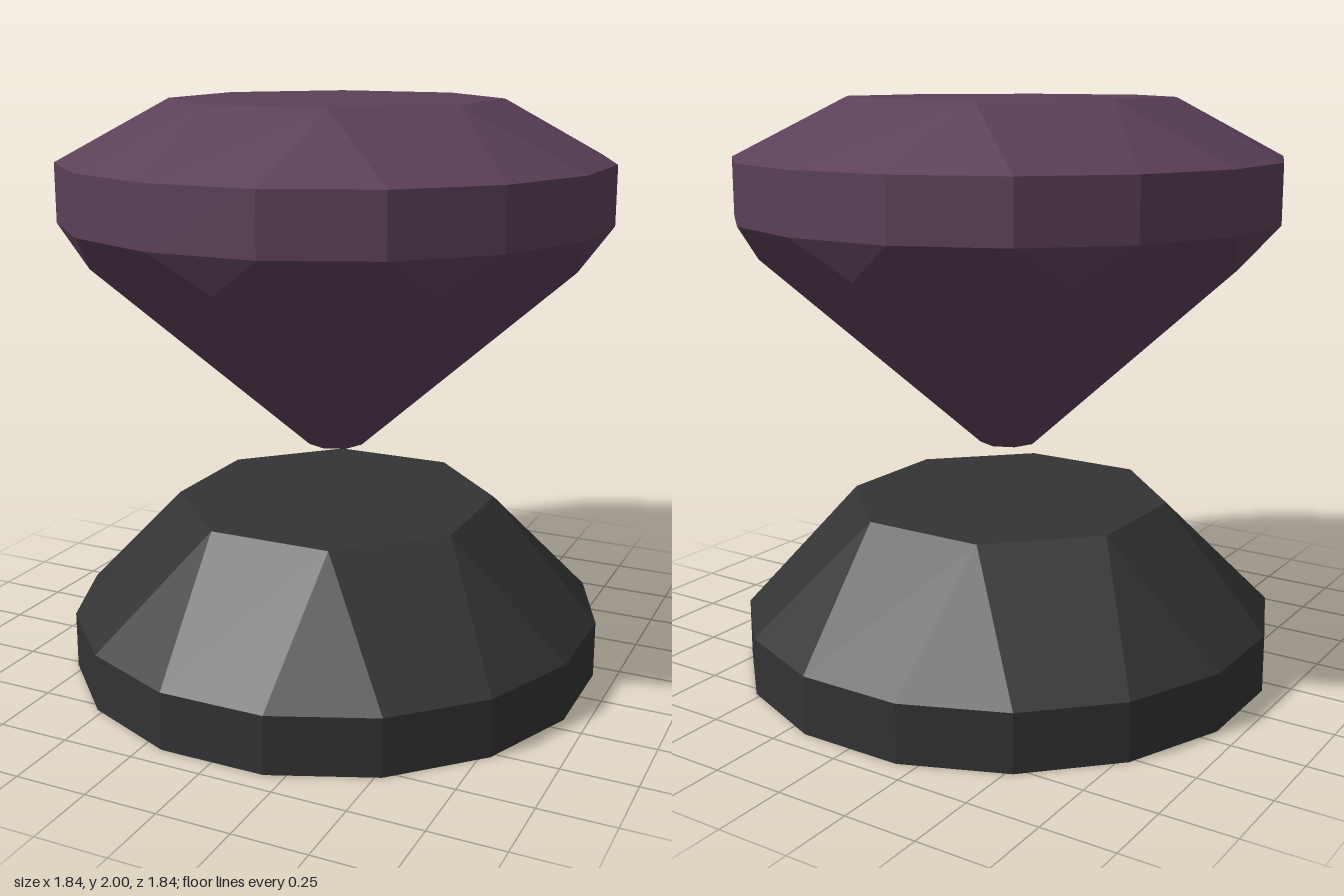
import * as THREE from 'three';

const STEP = Math.PI / 8; // one side of the sixteen-sided girdle
const GIRDLE = 0.94, TABLE = 0.565, CULET = 0.1;

// Point on a ring; s counts girdle sides around the y axis
const at = (s, r, y) => new THREE.Vector3(r * Math.sin(s * STEP), y, r * Math.cos(s * STEP));

// Flat-faced convex solid from polygons, each turned to face away from the centre
function facetedSolid(faces, centre) {
  const pos = [];
  for (const f of faces) {
    const normal = new THREE.Vector3().crossVectors(f[1].clone().sub(f[0]), f[2].clone().sub(f[0]));
    const pts = normal.dot(f[0].clone().sub(centre)) < 0 ? [...f].reverse() : f;
    for (let i = 1; i < pts.length - 1; i++) {
      for (const p of [pts[0], pts[i], pts[i + 1]]) pos.push(p.x, p.y, p.z);
    }
  }
  const geo = new THREE.BufferGeometry();
  geo.setAttribute('position', new THREE.Float32BufferAttribute(pos, 3));
  geo.computeVertexNormals();
  return geo;
}

// Upright girdle band plus a crown narrowing to an octagonal table
function crownFaces(y0, y1, y2) {
  const faces = [];
  for (let s = 0; s < 16; s++) {
    const a = s - 0.5, b = s + 0.5;
    faces.push([at(a, GIRDLE, y0), at(b, GIRDLE, y0), at(b, GIRDLE, y1), at(a, GIRDLE, y1)]);
    faces.push(s % 2 === 0
      ? [at(a, GIRDLE, y1), at(b, GIRDLE, y1), at(s + 1, TABLE, y2), at(s - 1, TABLE, y2)]
      : [at(a, GIRDLE, y1), at(b, GIRDLE, y1), at(s, TABLE, y2)]);
  }
  faces.push(Array.from({ length: 8 }, (_, k) => at(2 * k + 1, TABLE, y2)));
  return faces;
}

// Lower cone of the gem: eight long facets with small triangles under the girdle
function pavilionFaces(yTop, yMid, yBottom) {
  const outer = GIRDLE * Math.cos(STEP / 2), inner = CULET * Math.cos(STEP);
  const t = (yTop - yMid) / (yTop - yBottom);
  const mid = (outer + (inner - outer) * t) / Math.cos(STEP); // keeps long facets planar
  const faces = [];
  for (let s = 0; s < 16; s += 2) {
    faces.push([at(s - 0.5, GIRDLE, yTop), at(s + 0.5, GIRDLE, yTop), at(s, mid, yMid)]);
    faces.push([
      at(s, CULET, yBottom), at(s + 2, CULET, yBottom), at(s + 2, mid, yMid),
      at(s + 1.5, GIRDLE, yTop), at(s + 0.5, GIRDLE, yTop), at(s, mid, yMid),
    ]);
  }
  faces.push(Array.from({ length: 8 }, (_, k) => at(2 * k, CULET, yBottom)));
  return faces;
}

export function createModel() {
  const group = new THREE.Group();
  group.name = 'gemOnPedestal';

  const add = (name, faces, yCentre, color) => {
    const mesh = new THREE.Mesh(
      facetedSolid(faces, new THREE.Vector3(0, yCentre, 0)),
      new THREE.MeshStandardMaterial({ color, flatShading: true }),
    );
    mesh.name = name;
    group.add(mesh);
  };

  // Pedestal with a closed underside
  const underside = Array.from({ length: 16 }, (_, s) => at(s + 0.5, GIRDLE, 0));
  add('pedestal', [...crownFaces(0, 0.2, 0.6), underside], 0.2, 0x333333);

  // Floating cut gem
  add('gem', [...crownFaces(1.6, 1.8, 2), ...pavilionFaces(1.6, 1.47, 0.8)], 1.6, 0x5c4058);

  return group;
}
